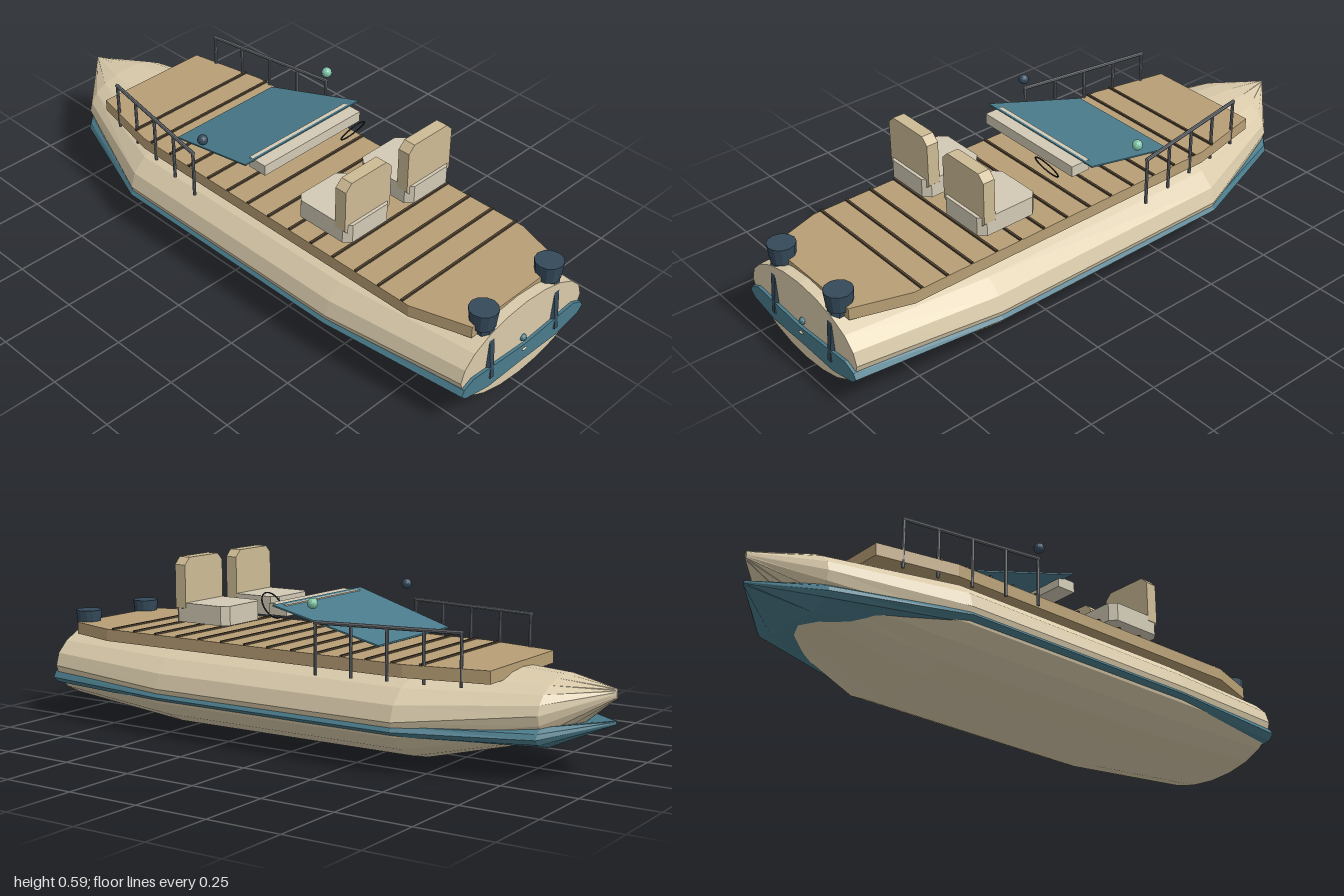
import * as THREE from 'three';

const paint = (color, extra = {}) => new THREE.MeshStandardMaterial({ color, flatShading: true, ...extra });
const CREAM = paint(0xd9caaa), BAND = paint(0x4a7b8b), DARK = paint(0x34495a), WOOD = paint(0xb89f75);
const SEAM = paint(0x4d4030), CUSHION = paint(0xd2cab5), BACKREST = paint(0xcdbb94), METAL = paint(0x70757a);

function part(parent, name, geometry, material, x = 0, y = 0, z = 0) {
  const mesh = new THREE.Mesh(geometry, material);
  mesh.name = name;
  mesh.position.set(x, y, z);
  parent.add(mesh);
  return mesh;
}

// Skin over equal-sized rings running from +z to -z, each counter-clockwise seen from +z
function loft(rings) {
  const n = rings[0].length, pos = rings.flat(2), index = [];
  for (let i = 0; i < rings.length - 1; i++) {
    for (let j = 0; j < n; j++) {
      const a = i * n + j, b = i * n + (j + 1) % n;
      index.push(a, a + n, b, b, a + n, b + n);
    }
  }
  for (const end of [0, rings.length - 1]) {
    const center = pos.length / 3, ring = rings[end];
    pos.push(...[0, 1, 2].map(k => ring.reduce((s, p) => s + p[k], 0) / n));
    for (let j = 0; j < n; j++) {
      const a = end * n + j, b = end * n + (j + 1) % n;
      index.push(center, ...(end ? [b, a] : [a, b]));
    }
  }
  const g = new THREE.BufferGeometry();
  g.setAttribute('position', new THREE.Float32BufferAttribute(pos, 3));
  g.setIndex(index);
  const flat = g.toNonIndexed();
  flat.computeVertexNormals();
  return flat;
}

// Flat outline pulled straight along z
function slab(points, depth) {
  const shape = new THREE.Shape(points.map(p => new THREE.Vector2(...p)));
  return new THREE.ExtrudeGeometry(shape, { depth, bevelEnabled: false });
}

// Straight round bar between two points
function bar(parent, name, a, b, r) {
  const from = new THREE.Vector3(...a), to = new THREE.Vector3(...b), dir = to.clone().sub(from);
  const m = part(parent, name, new THREE.CylinderGeometry(r, r, dir.length(), 8), METAL);
  m.position.copy(from).add(to).multiplyScalar(0.5);
  m.quaternion.setFromUnitVectors(new THREE.Vector3(0, 1, 0), dir.normalize());
}

function addHull(boat) {
  // z, half width, bottom, top
  const stations = [
    [0.985, 0.282, 0.046, 0.326], [0.49, 0.333, 0.004, 0.327], [-0.42, 0.333, 0.006, 0.327],
    [-0.83, 0.178, 0.108, 0.307], [-1, 0.004, 0.25, 0.28],
  ];
  part(boat, 'hull', loft(stations.map(([z, w, lo, hi]) =>
    Array.from({ length: 20 }, (_, i) => {
      const t = i * Math.PI / 10;
      return [w * Math.cos(t), (lo + hi) / 2 + (hi - lo) / 2 * Math.sin(t), z];
    }))), CREAM);

  // Rubbing band: a thin slab passing through the whole hull
  const half = [[0.56, -0.045], [0.93, -0.022], [1, -0.003], [0.96, 0.016], [0.82, 0.034]];
  const outline = [...half, [0, 0.018], ...half.map(([x, y]) => [-x, y]).reverse(), [0, -0.042]];
  // z, half width, height, thickness
  const bandStations = [
    [0.995, 0.287, 0.147, 1], [0.49, 0.337, 0.14, 0.9], [-0.42, 0.337, 0.14, 0.9],
    [-0.83, 0.188, 0.14, 0.9], [-1, 0.003, 0.178, 0.15],
  ];
  part(boat, 'rubbingBand', loft(bandStations.map(([z, w, y, s]) =>
    outline.map(p => [p[0] * w, y + p[1] * s, z]))), BAND);

  // Transom fittings
  part(boat, 'transomLight', new THREE.SphereGeometry(0.012, 12, 8), BAND, 0, 0.187, 0.986);
  part(boat, 'drainPlug', new THREE.SphereGeometry(0.011, 12, 8), CREAM, 0, 0.147, 0.994).scale.set(1, 0.45, 0.5);
}

function addDeck(boat) {
  const side = [[0.21, 0.69], [0.265, 0.42], [0.265, -0.76], [0.205, -0.95]];
  const outline = [...side.map(([x, y]) => [-x, y]), ...side.reverse()];
  part(boat, 'deck', slab(outline, 0.041).rotateX(-Math.PI / 2), WOOD, 0, 0.292, 0);
  for (let i = 0; i < 14; i++) {
    part(boat, 'plankSeam', new THREE.BoxGeometry(i ? 0.53 : 0.51, 0.008, 0.008), SEAM, 0, 0.335, -0.477 + i * 0.093);
  }
}

function addSeat(boat, x) {
  const seat = new THREE.Group();
  seat.name = 'seat';
  seat.position.x = x;
  boat.add(seat);
  const octagon = (w, d, c) => [
    [-w + c, -d], [w - c, -d], [w, -d + c], [w, d - c], [w - c, d], [-w + c, d], [-w, d - c], [-w, -d + c]];
  part(seat, 'cushion', slab(octagon(0.098, 0.11, 0.022), 0.064).rotateX(-Math.PI / 2), CUSHION, 0, 0.382, 0.377);
  part(seat, 'backrest', slab(octagon(0.099, 0.096, 0.024), 0.042), BACKREST, 0, 0.5, 0.434);
}

function addHelm(boat) {
  part(boat, 'console', new THREE.BoxGeometry(0.43, 0.037, 0.07), CUSHION, 0, 0.451, 0.075);

  // Raked windshield, wider at its raised edge
  const glass = new THREE.BoxGeometry(1, 0.005, 0.37), p = glass.attributes.position;
  for (let i = 0; i < p.count; i++) {
    const t = p.getZ(i) / 0.37 + 0.5;
    p.setXYZ(i, p.getX(i) * (0.432 + 0.08 * t), p.getY(i) + 0.37 + 0.1 * t, -0.305 + 0.37 * t);
  }
  glass.computeVertexNormals();
  part(boat, 'windshield', glass, BAND);

  part(boat, 'steeringWheel', new THREE.TorusGeometry(0.047, 0.0025, 6, 24), paint(0x22282c), 0.14, 0.45, 0.15)
    .rotation.x = Math.atan2(0.05, 0.08);
}

function addRail(boat, side) {
  const rail = new THREE.Group();
  rail.name = 'sideRail';
  boat.add(rail);
  const at = (t, y) => [side * (0.302 - 0.078 * t), y, -0.13 - 0.47 * t];
  for (let i = 0; i < 5; i++) bar(rail, 'railPost', at(i / 4, 0.275), at(i / 4, 0.442), 0.0055);
  bar(rail, 'handrail', at(-0.01, 0.44), at(1.01, 0.44), 0.0065);
}

function addMotor(boat, x) {
  const motor = new THREE.Group();
  motor.name = 'outboardMotor';
  motor.position.x = x;
  boat.add(motor);
  part(motor, 'motorHead', new THREE.CylinderGeometry(0.046, 0.04, 0.06, 12), DARK, 0, 0.342, 0.945);
  // Tapered leg leaning out over the transom
  const leg = [[0.32, 0.033, 0.95], [0.135, 0.018, 0.982]].map(([y, r, z]) =>
    Array.from({ length: 8 }, (_, i) => {
      const t = (i + 0.5) * Math.PI / 4;
      return [r * Math.cos(t), r * Math.sin(t) - z, y];
    }));
  part(motor, 'motorLeg', loft(leg).rotateX(-Math.PI / 2), DARK);
}

export function createModel() {
  const boat = new THREE.Group();
  boat.name = 'boat';
  addHull(boat);
  addDeck(boat);
  addHelm(boat);
  for (const side of [-1, 1]) {
    addSeat(boat, side * 0.138);
    addRail(boat, side);
    addMotor(boat, side * 0.152);
    part(boat, 'navigationLight', new THREE.SphereGeometry(0.0175, 14, 10),
      side > 0 ? paint(0x7fc4a8) : DARK, side * 0.28, 0.494, -0.105);
  }
  return boat;
}
